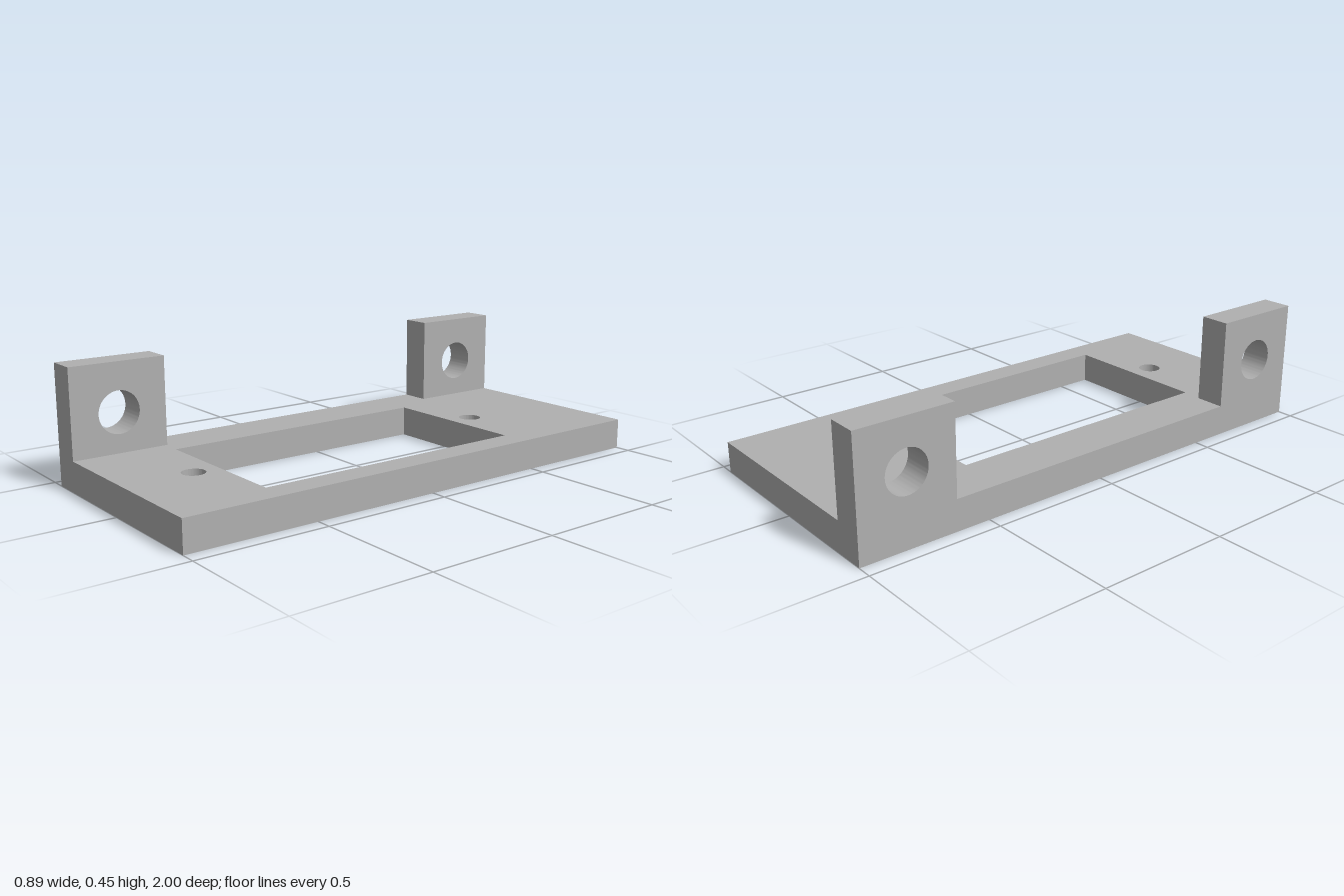
import * as THREE from 'three';
import { toCreasedNormals } from 'three/addons/utils/BufferGeometryUtils.js';

const HALF_W = 0.443, HALF_L = 1, THICK = 0.117;

function rectangle(target, x0, y0, x1, y1) {
  target.moveTo(x0, y0);
  target.lineTo(x1, y0);
  target.lineTo(x1, y1);
  target.lineTo(x0, y1);
  target.closePath();
  return target;
}

function circle(x, y, radius) {
  return new THREE.Path().absarc(x, y, radius, 0, Math.PI * 2, true);
}

// Extrudes a pierced outline, with smooth bores and sharp edges
function extrude(shape, depth) {
  const geometry = new THREE.ExtrudeGeometry(shape, { depth, bevelEnabled: false, curveSegments: 40 });
  return toCreasedNormals(geometry, Math.PI / 6);
}

export function createModel() {
  const group = new THREE.Group();
  group.name = 'mountingBracket';
  const grey = new THREE.MeshStandardMaterial({ color: 0xb0b0b0 });
  grey.name = 'grey';

  // Base plate with an off-centre window and two screw holes (shape y is -z)
  const outline = rectangle(new THREE.Shape(), -HALF_W, -HALF_L, HALF_W, HALF_L);
  outline.holes.push(
    rectangle(new THREE.Path(), -0.253, -0.636, 0.341, 0.455),
    circle(0.044, 0.552, 0.043),
    circle(0.044, -0.732, 0.043)
  );
  const plate = new THREE.Mesh(extrude(outline, THICK).rotateX(-Math.PI / 2), grey);
  plate.name = 'basePlate';
  group.add(plate);

  // Upright lugs on the right edge, one at each end, each with a bore
  for (const side of [1, -1]) {
    const inner = side > 0 ? 0.63 : -HALF_L;
    const outer = side > 0 ? HALF_L : -0.63;
    const lugShape = rectangle(new THREE.Shape(), inner, THICK, outer, 0.453);
    lugShape.holes.push(circle(side * 0.815, 0.268, 0.08));
    const lug = new THREE.Mesh(extrude(lugShape, 0.115).rotateY(-Math.PI / 2), grey);
    lug.position.x = -HALF_W + 0.115;
    lug.name = side > 0 ? 'frontLug' : 'backLug';
    group.add(lug);
  }

  return group;
}
